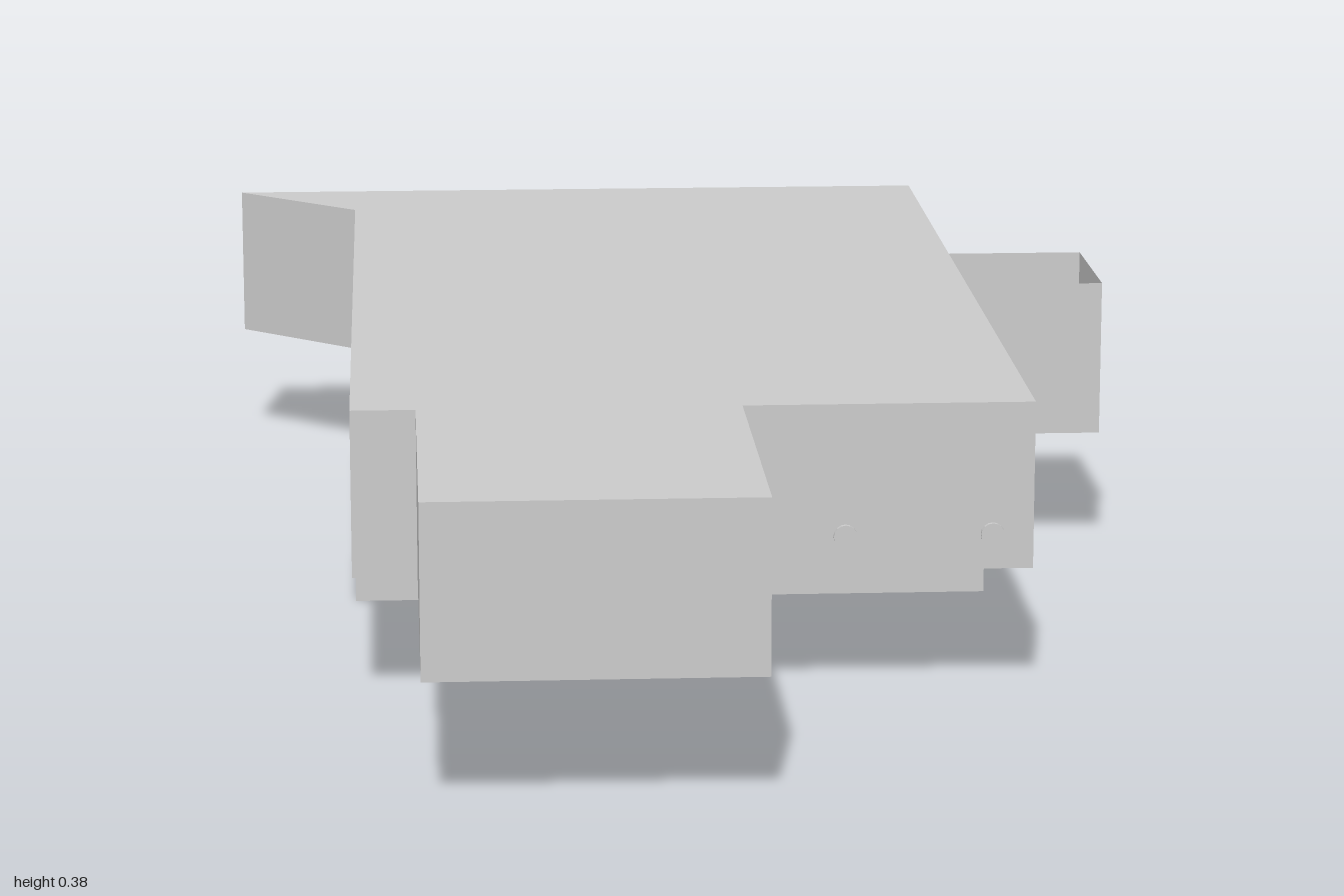
import * as THREE from 'three';

const LOW = 0.165, TOP = 0.38; // underside and roof heights of the upper storey

export function createModel() {
  const group = new THREE.Group();
  const solid = new THREE.MeshStandardMaterial({ color: 0xcccccc, flatShading: true });
  const sheet = new THREE.MeshStandardMaterial({ color: 0xcccccc, flatShading: true, side: THREE.DoubleSide });

  const add = (name, geometry, material = solid, parent = group) => {
    const mesh = new THREE.Mesh(geometry, material);
    mesh.name = name;
    parent.add(mesh);
    return mesh;
  };
  // Box given by its limits on each axis
  const block = (name, x0, x1, y0, y1, z0, z1, parent) =>
    add(name, new THREE.BoxGeometry(x1 - x0, y1 - y0, z1 - z0), solid, parent)
      .position.set((x0 + x1) / 2, (y0 + y1) / 2, (z0 + z1) / 2);
  // Plan outline from [x, z] points
  const plan = (points) => new THREE.Shape(points.map(([x, z]) => new THREE.Vector2(x, -z)));
  // Thin upright wall between two plan points
  const wall = (name, [xa, za], [xb, zb], y0, y1, parent) => {
    const mesh = add(name, new THREE.PlaneGeometry(Math.hypot(xb - xa, zb - za), y1 - y0), sheet, parent);
    mesh.position.set((xa + xb) / 2, (y0 + y1) / 2, (za + zb) / 2);
    mesh.rotation.y = -Math.atan2(zb - za, xb - xa);
  };

  // Upper storey with its narrower front wing
  const body = new THREE.ExtrudeGeometry(plan([
    [-0.437, -0.81], [-0.437, 0.53], [-0.355, 0.53], [-0.355, 1],
    [0.052, 1], [0.052, 0.53], [0.42, 0.53], [0.42, -0.81],
  ]), { depth: TOP - LOW, bevelEnabled: false });
  body.rotateX(-Math.PI / 2).translate(0, LOW, 0);
  add('upperStorey', body);

  // Lower storey under the back half
  block('lowerStorey', -0.437, 0.42, 0, LOW, -0.81, 0.035);

  // Covered passage along the back, open at its left end
  const passage = new THREE.Group();
  passage.name = 'backPassage';
  group.add(passage);
  const corner = [-0.612, -0.97], inner = [-0.437, -0.815];
  const outline = plan([corner, inner, [-0.437, -0.81], [0.42, -0.81], [0.42, -0.97]]);
  for (const [name, y] of [['passageFloor', LOW], ['passageRoof', TOP]]) {
    add(name, new THREE.ShapeGeometry(outline).rotateX(-Math.PI / 2), sheet, passage).position.y = y;
  }
  wall('passageBackWall', corner, [0.42, -0.97], LOW, TOP, passage);
  wall('passageSlantedWall', corner, inner, LOW, TOP, passage);

  // Side balcony: raised floor with thin parapets
  const balcony = new THREE.Group();
  balcony.name = 'balcony';
  group.add(balcony);
  const deck = 0.33, z0 = -0.423, z1 = -0.2, xIn = 0.42, xOut = 0.61;
  block('balconyBase', xIn, xOut, LOW, deck, z0, z1, balcony);
  wall('parapetFront', [xIn, z1], [xOut, z1], deck, TOP, balcony);
  wall('parapetSide', [xOut, z1], [xOut, z0], deck, TOP, balcony);
  wall('parapetBack', [xIn, z0], [xOut, z0], deck, TOP, balcony);

  // Door on the back wall
  block('backDoor', -0.14, -0.057, LOW, 0.325, -1, -0.97);

  // Small round lamps on the front wall and on the underside
  for (const x of [0.182, 0.368]) {
    const lamp = add('frontLamp', new THREE.CylinderGeometry(0.015, 0.015, 0.006, 16).rotateX(Math.PI / 2));
    lamp.position.set(x, 0.21, 0.533);
  }
  for (const [x, z, h] of [[0.182, 0.235, 0.01], [0.368, 0.075, 0.005]]) {
    add('undersideLamp', new THREE.CylinderGeometry(0.015, 0.015, h, 16)).position.set(x, LOW - h / 2, z);
  }
  return group;
}
